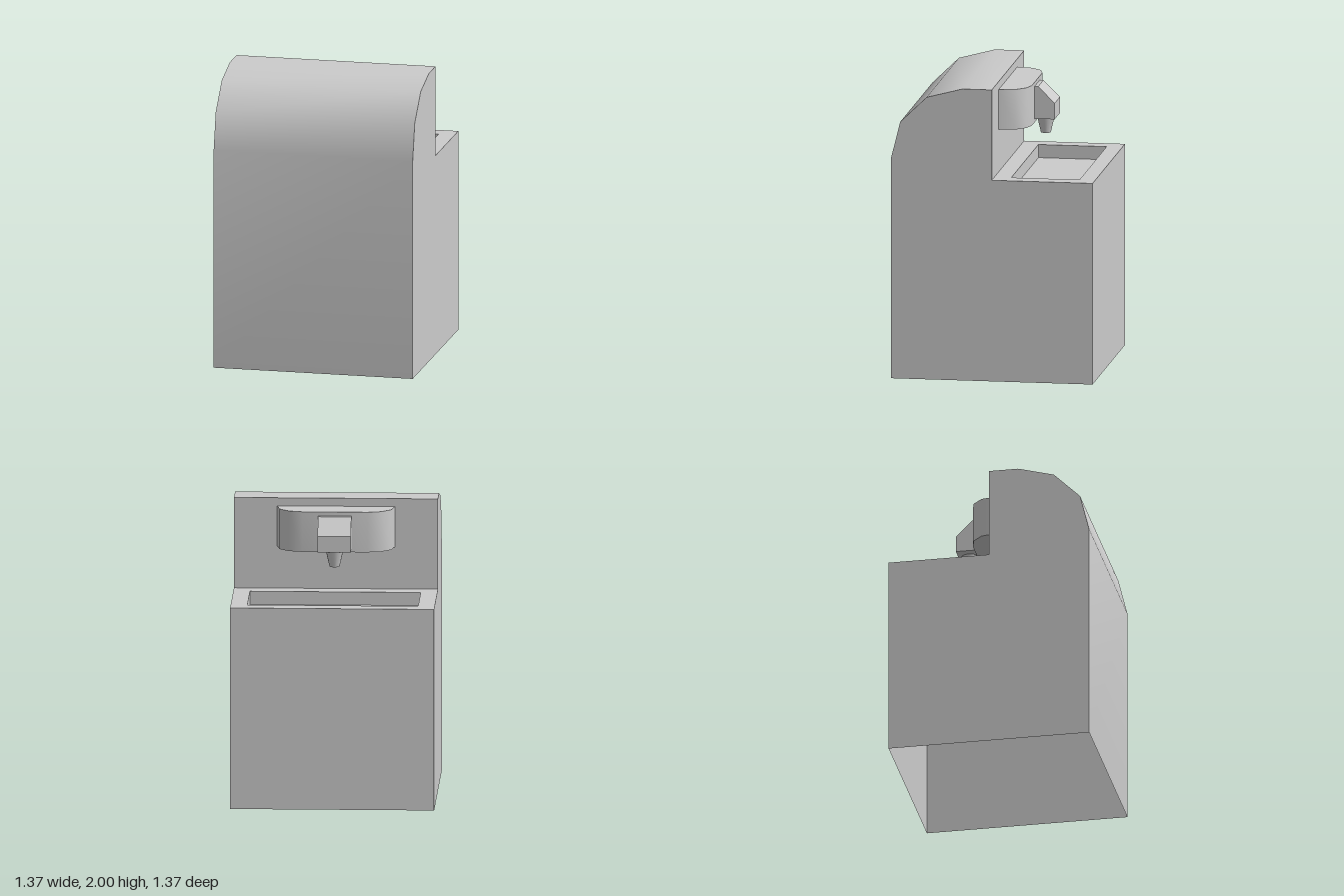
import * as THREE from 'three';
import { toCreasedNormals } from 'three/addons/utils/BufferGeometryUtils.js';

const HALF = 0.687; // half width and half depth of the cabinet
const DECK = 1.38; // height of the work surface
const CREASE = 0.7;

const shapeOf = (points) => new THREE.Shape(points.map(([x, y]) => new THREE.Vector2(x, y)));

// Sheet across the full width, following a list of [z, y] points
function sheet(points) {
  const pos = [];
  for (let i = 0; i < points.length - 1; i++) {
    const [z0, y0] = points[i];
    const [z1, y1] = points[i + 1];
    pos.push(-HALF, y0, z0, HALF, y0, z0, HALF, y1, z1);
    pos.push(-HALF, y0, z0, HALF, y1, z1, -HALF, y1, z1);
  }
  const geometry = new THREE.BufferGeometry();
  geometry.setAttribute('position', new THREE.Float32BufferAttribute(pos, 3));
  return toCreasedNormals(geometry, CREASE);
}

export function createModel() {
  const model = new THREE.Group();
  model.name = 'dispenserCabinet';
  const material = new THREE.MeshStandardMaterial({ color: 0xcccccc, side: THREE.DoubleSide });
  const add = (name, geometry) => {
    const mesh = new THREE.Mesh(geometry, material);
    mesh.name = name;
    model.add(mesh);
    return mesh;
  };

  // Hollow cabinet, open underneath, with a rounded hood at the front
  const hood = [
    [HALF, 0], [HALF, 1.51], [0.625, 1.76], [0.445, 1.935], [0.2, 2], [0, 2], [0, DECK],
  ];
  const back = [[-HALF, DECK], [-HALF, 0]];
  add('hood', sheet(hood));
  add('backPanel', sheet(back));

  // Side panels
  const outline = [...hood, ...back];
  for (const side of [-1, 1]) {
    const panel = new THREE.ShapeGeometry(shapeOf(outline.map(([z, y]) => [-side * z, y])));
    panel.rotateY(side * Math.PI / 2).translate(side * HALF, 0, 0);
    add(side > 0 ? 'leftPanel' : 'rightPanel', panel);
  }

  // Work surface with a rectangular opening
  const trayX = 0.575, trayNear = 0.115, trayFar = 0.58, trayDepth = 0.09;
  const deckShape = shapeOf([[-HALF, 0], [HALF, 0], [HALF, HALF], [-HALF, HALF]]);
  deckShape.holes.push(shapeOf([
    [-trayX, trayNear], [-trayX, trayFar], [trayX, trayFar], [trayX, trayNear],
  ]));
  add('deck', new THREE.ShapeGeometry(deckShape).rotateX(-Math.PI / 2).translate(0, DECK, 0));

  // Sunken tray: a box without its lid, turned to face inward
  const tray = new THREE.BoxGeometry(2 * trayX, trayDepth, trayFar - trayNear);
  const faces = Array.from(tray.index.array).filter((_, i) => i < 12 || i >= 18);
  tray.setIndex(faces.reverse());
  tray.clearGroups();
  tray.computeVertexNormals();
  tray.translate(0, DECK - trayDepth / 2, -(trayNear + trayFar) / 2);
  add('tray', tray);

  // Rounded head standing out from the rear of the hood
  const half = [[0.397, 0], [0.375, 0.11], [0.31, 0.175], [0.22, 0.199]];
  const mirrored = half.map(([x, y]) => [-x, y]).reverse();
  const head = new THREE.ExtrudeGeometry(shapeOf([...half, ...mirrored]), {
    depth: 0.275, bevelEnabled: false,
  });
  head.rotateX(-Math.PI / 2).translate(0, 1.67, 0);
  add('head', toCreasedNormals(head, CREASE));

  // Chamfered spout block
  const spout = new THREE.ExtrudeGeometry(
    shapeOf([[0.19, 1.695], [0.336, 1.695], [0.336, 1.805], [0.224, 1.917], [0.19, 1.917]]),
    { depth: 0.224, bevelEnabled: false },
  );
  spout.rotateY(Math.PI / 2).translate(-0.112, 0, 0);
  add('spout', spout);

  // Tapered nozzle
  add('nozzle', new THREE.CylinderGeometry(0.06, 0.034, 0.112, 16)).position.set(0, 1.64, -0.258);

  return model;
}
